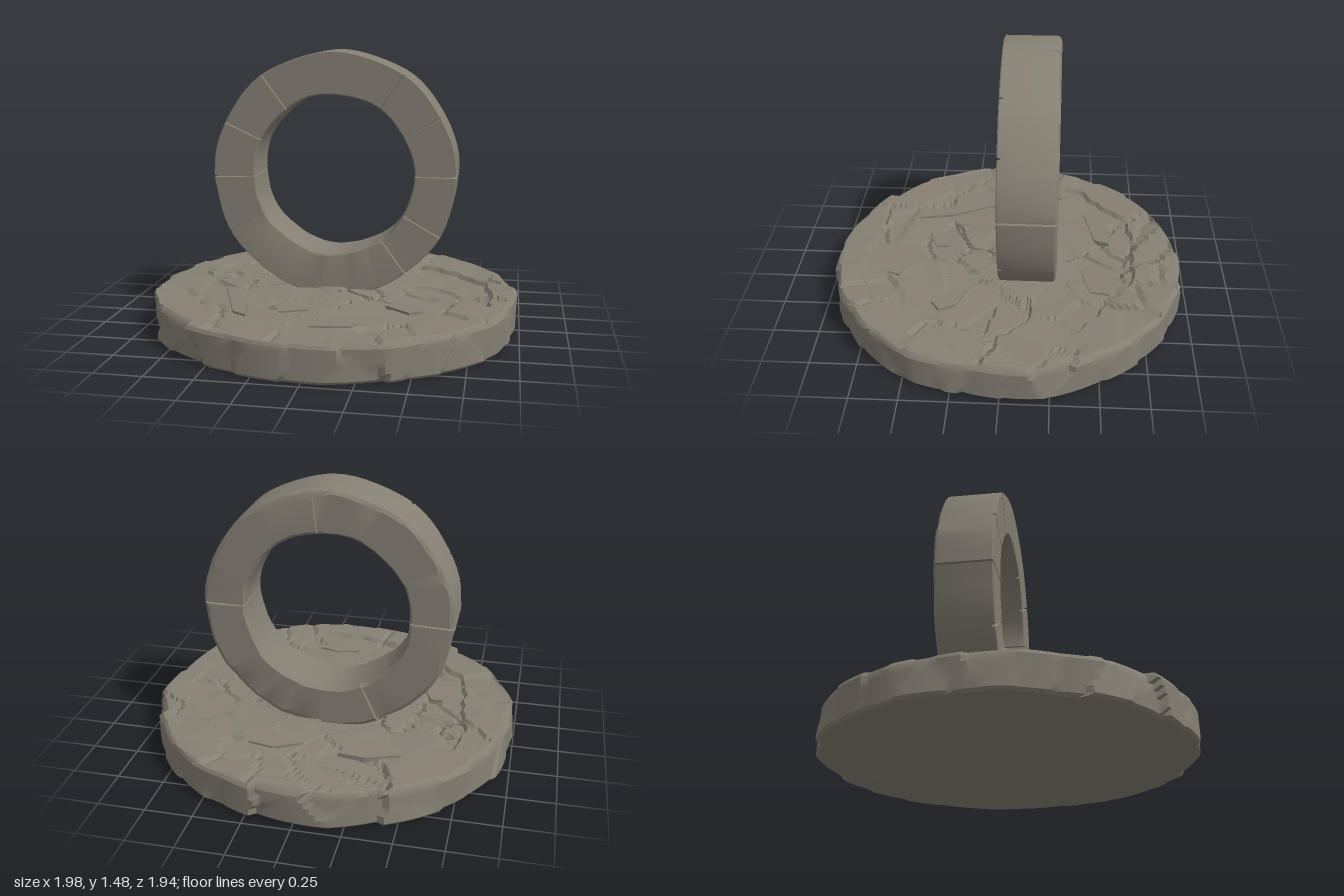
import * as THREE from 'three';
import { toCreasedNormals } from 'three/addons/utils/BufferGeometryUtils.js';

const { cos, sin, abs, min, max, PI, hypot, floor } = Math;

// Small seeded random generator
function seeded(s) {
  return () => {
    s = (s * 16807) % 2147483647;
    return s / 2147483647;
  };
}

// Surface swept around closed angles; fn(angle, row) gives [x, y, z]
function sweep(angles, rows, closed, fn) {
  const pos = [], idx = [], n = angles.length;
  for (const a of angles) for (let v = 0; v < rows; v++) pos.push(...fn(a, v));
  for (let u = 0; u < n; u++) {
    for (let v = 0; v < (closed ? rows : rows - 1); v++) {
      const u2 = (u + 1) % n, v2 = (v + 1) % rows;
      const a = u * rows + v, b = u * rows + v2, c = u2 * rows + v, d = u2 * rows + v2;
      idx.push(a, b, c, c, b, d);
    }
  }
  const g = new THREE.BufferGeometry();
  g.setAttribute('position', new THREE.Float32BufferAttribute(pos, 3));
  g.setIndex(idx);
  return toCreasedNormals(g, 0.5);
}

// Tilted broken cells: returns cell relief and closeness to a crack
function cells(seeds, x, y, dist) {
  let d1 = 9, d2 = 9, s1 = null, s2 = null;
  for (const s of seeds) {
    const d = dist(s, x, y);
    if (d < d1) { d2 = d1; s2 = s1; d1 = d; s1 = s; }
    else if (d < d2) { d2 = d; s2 = s; }
  }
  return { cell: s1, gap: d2 - d1, cracked: (s1.id * s2.id) % 3 === 0 };
}

// Round slab with chipped sides, broken rim and slightly sunken paving
function baseGeometry() {
  const rnd = seeded(41);
  const makeSeed = (x, y, id) => ({ x, y, id, h: rnd(), tx: rnd() - 0.5, ty: rnd() - 0.5 });
  const paving = [], chips = [];
  for (let i = 0; i < 62; i++) {
    const r = Math.sqrt(rnd()) * 1.02, a = rnd() * PI * 2;
    paving.push(makeSeed(r * cos(a), r * sin(a), i + 1));
  }
  for (let i = 0; i < 38; i++) chips.push(makeSeed((i + rnd() * 0.8) / 38 * PI * 2, rnd() * 0.2, i + 1));
  const flat = (s, x, y) => hypot(s.x - x, s.y - y);
  const wrapped = (s, a, y) => {
    const d = abs(s.x - a);
    return hypot(min(d, PI * 2 - d), (s.y - y) * 1.2);
  };

  // Radius of the sunken area every 15 degrees
  const edge = [.85, .87, .74, .76, .83, .85, .82, .80, .82, .76, .79, .74,
    .72, .78, .83, .76, .80, .75, .71, .74, .67, .72, .77, .84];
  const edgeAt = a => {
    const t = a / (PI * 2) * 24, i = floor(t), f = t - i;
    return edge[i % 24] * (1 - f) + edge[(i + 1) % 24] * f + 0.012 * sin(a * 31) * sin(a * 7);
  };

  const side = [0, 0.015, 0.05, 0.08, 0.11, 0.14, 0.17, 0.188];
  const rimRows = 9, inner = 34;
  const rows = 1 + side.length + rimRows + inner;

  const radius = (a, y) => {
    const { cell: c } = cells(chips, a, y, wrapped);
    let da = a - c.x;
    if (da > PI) da -= PI * 2;
    if (da < -PI) da += PI * 2;
    const bevel = y < 0.01 ? 0.014 : y > 0.18 ? 0.01 : 0;
    return min(1, 0.988 - c.h * 0.018 + c.tx * da * 0.25 + c.ty * (y - 0.1) * 0.25) - bevel;
  };
  const top = (x, z, sunk) => {
    const { cell: c, gap, cracked } = cells(paving, x, z, flat);
    const relief = (c.h - 0.5) * 0.012 + c.tx * (x - c.x) * 0.06 + c.ty * (z - c.y) * 0.06;
    const groove = cracked && gap < 0.02 ? 0.016 : 0;
    return min(0.205, 0.197 + relief - groove - sunk);
  };

  const n = 220;
  const angles = Array.from({ length: n }, (_, i) => i / n * PI * 2);
  return sweep(angles, rows, false, (a, v) => {
    if (v === 0) return [0, 0, 0];
    if (v <= side.length) {
      const y = side[v - 1], r = radius(a, y);
      return [r * cos(a), y, r * sin(a)];
    }
    const k = v - 1 - side.length, e = edgeAt(a);
    let r, sunk = 0;
    if (k < rimRows) {
      const outer = radius(a, 0.188) - 0.012;
      r = outer + (e - outer) * k / (rimRows - 1);
    } else {
      r = (e - 0.018) * (1 - (k - rimRows) / (inner - 1));
      sunk = 0.022 * min(1, r / 0.5);
    }
    const x = r * cos(a), z = r * sin(a);
    return [x, r < 1e-6 ? 0.195 : top(x, z, sunk), z];
  });
}

// Standing ring of stone blocks, with joints cut into it and a chipped back edge
function ringGeometry() {
  const R = 0.66, r0 = 0.435, front = 0.03, back = -0.27;
  const rad = d => ((d + 360) % 360) * PI / 180;
  const frontJoints = [29, 55, 126, 155, 210, 307, 331].map(rad);
  const fullJoints = [0.5, 182].map(rad);
  const backJoints = [84, 245].map(rad);
  const joints = [...frontJoints, ...fullJoints, ...backJoints];
  const half = 0.009;

  const angles = [];
  for (let i = 0; i < 72; i++) {
    const a = (i + 0.5) / 72 * PI * 2;
    if (joints.every(j => abs(a - j) > 0.02)) angles.push(a);
  }
  for (const j of joints) angles.push(j - half, j - half * 0.6, j + half * 0.6, j + half);
  angles.sort((a, b) => a - b);

  const rnd = seeded(97);
  const chip = Array.from({ length: 40 }, () => rnd());
  const near = (list, a) => list.some(j => abs(a - j) < half * 0.8);

  return sweep(angles, 10, true, (a, v) => {
    const t = a / (PI * 2) * 40, c = chip[floor(t) % 40], f = t - floor(t);
    const bite = (c > 0.35 ? c * 0.035 : 0.008) * (0.6 + 0.4 * f);
    const full = near(fullJoints, a) ? 0.018 : 0;
    const fz = front - full - (near(frontJoints, a) ? 0.018 : 0);
    const bz = back + full + (near(backJoints, a) ? 0.02 : 0);
    // Slightly uneven outline and worn lower inside edge
    const outer = R - full + 0.004 * sin(a * 9) + (abs(a - PI * 1.01) < 0.05 ? 0.006 : 0);
    const inner = r0 + full * 0.7 + 0.004 * sin(a * 7 + 1);
    const worn = sin(a) < -0.2 ? 0.018 * chip[(floor(t) + 7) % 40] : 0.004;
    const section = [
      [outer - 0.004, fz], [outer, fz - 0.005],
      [outer, bz + 0.01 + bite], [outer - bite * 0.35, bz + 0.012], [outer - 0.012 - bite, bz],
      [inner + 0.008 + bite * 0.4, bz], [inner, bz + 0.012 + bite * 0.4],
      [inner, fz - 0.012 - worn], [inner + worn * 0.5, fz - 0.004], [inner + 0.004 + worn, fz]
    ];
    const [r, z] = section[v];
    return [r * cos(a), r * sin(a), z];
  });
}

export function createModel() {
  const model = new THREE.Group();
  const stone = new THREE.MeshStandardMaterial({ color: 0x857f73 });
  stone.name = 'weathered stone';

  const base = new THREE.Mesh(baseGeometry(), stone);
  base.name = 'brokenRoundBase';
  base.scale.z = 0.985;

  const ring = new THREE.Mesh(ringGeometry(), stone);
  ring.name = 'standingRing';
  ring.position.set(-0.012, 0.82, 0);

  // Low shards lying across the paving: x, z, length, width, turn
  const shards = new THREE.Group();
  shards.name = 'loosePavingShards';
  const layout = [[-0.47, 0.32, 0.52, 0.09, -1.2], [0.2, -0.5, 0.3, 0.16, 0.3], [-0.3, -0.52, 0.34, 0.12, 0.25],
    [0.42, 0.3, 0.2, 0.12, -0.6], [-0.15, 0.4, 0.18, 0.1, 0.4], [0.1, 0.62, 0.24, 0.1, 0.1]];
  for (const [x, z, l, w, turn] of layout) {
    const outline = new THREE.Shape([[-0.5, -0.4], [0.35, -0.5], [0.5, 0.1], [0.1, 0.5], [-0.45, 0.3]]
      .map(([px, py]) => new THREE.Vector2(px * l, py * w)));
    const g = new THREE.ExtrudeGeometry(outline, { depth: 0.03, bevelEnabled: false });
    const shard = new THREE.Mesh(g.rotateX(-PI / 2), stone);
    shard.name = 'shard';
    shard.position.set(x, 0.158, z);
    shard.rotation.set(0.02, turn, 0.015);
    shards.add(shard);
  }

  model.add(base, ring, shards);
  return model;
}
